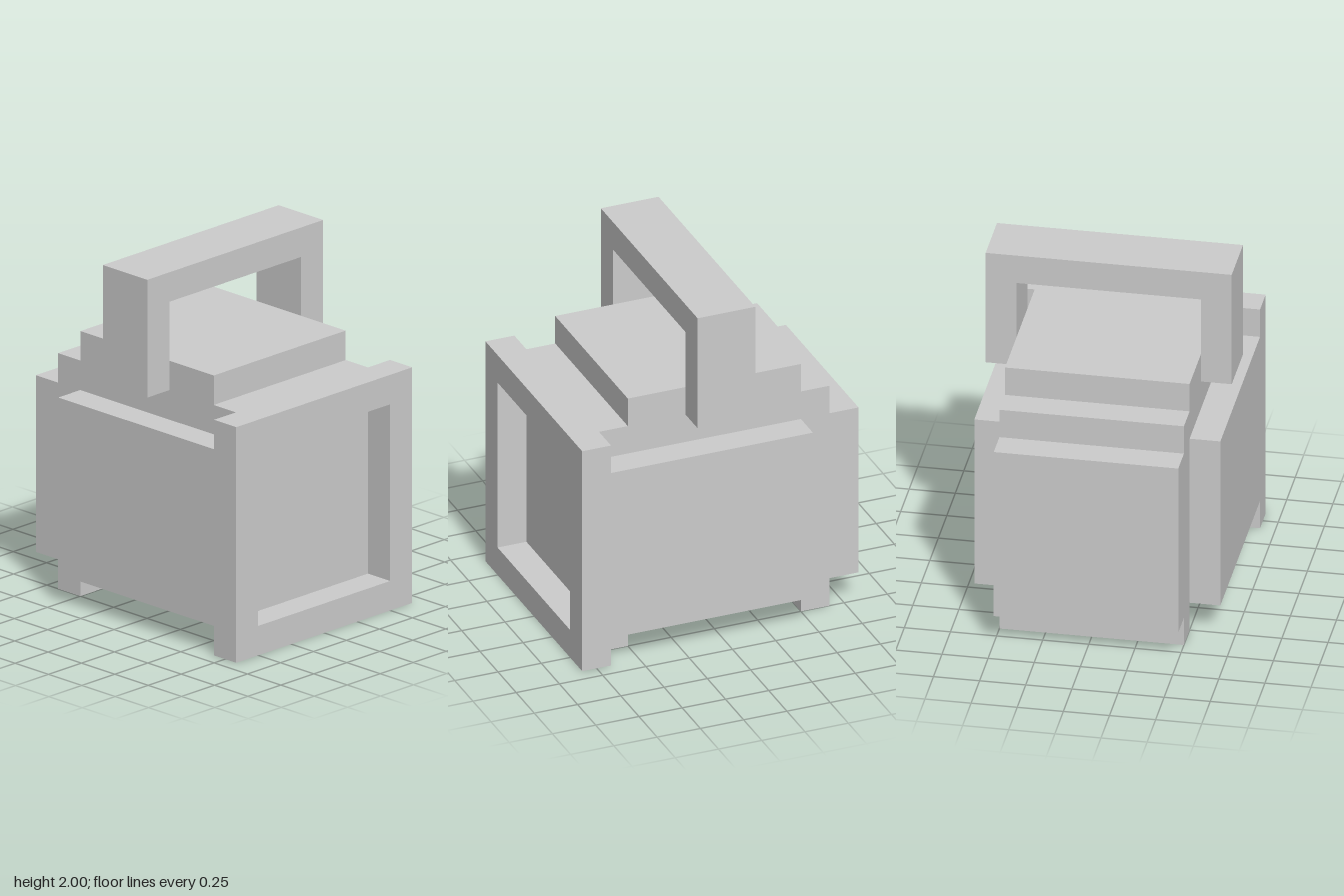
import * as THREE from 'three';

const U = 1 / 6; // grid unit: the model is 8 wide, 12 high and 10 deep
const material = new THREE.MeshStandardMaterial({ color: 0xcccccc, flatShading: true });

const scaled = (points) => points.map(([x, y]) => new THREE.Vector2(x * U, y * U));

const rect = (x0, y0, x1, y1) => [[x0, y0], [x1, y0], [x1, y1], [x0, y1]];

// Outline (with optional hole) extruded along z from z0 to z1
function slab(outline, z0, z1, hole) {
  const shape = new THREE.Shape(scaled(outline));
  if (hole) shape.holes.push(new THREE.Path(scaled(hole)));
  const geometry = new THREE.ExtrudeGeometry(shape, { depth: (z1 - z0) * U, bevelEnabled: false });
  return geometry.translate(0, 0, z0 * U);
}

export function createModel() {
  const group = new THREE.Group();
  const add = (name, geometry) => {
    const mesh = new THREE.Mesh(geometry, material);
    mesh.name = name;
    group.add(mesh);
    return mesh;
  };

  // Central body: stepped side profile (front towards -x) swept across the width
  const profile = [
    [-4, 0], [-3, 0], [-3, 1], [3, 1], [3, 0], [4, 0], [4, 1], [5, 1],
    [5, 7], [4, 7], [4, 8], [3, 8], [3, 9], [-3, 9], [-3, 8], [-4, 8],
  ];
  add('body', slab(profile, -3, 3).rotateY(Math.PI / 2));

  // Raised frame around the recessed front window
  add('frontFrame', slab(rect(-4, 0, 4, 8), 4, 5, rect(-3, 1, 3, 7)));

  // Side panels
  for (const [side, name] of [[1, 'leftPanel'], [-1, 'rightPanel']]) {
    const panel = add(name, new THREE.BoxGeometry(U, 6 * U, 7 * U));
    panel.position.set(side * 3.5 * U, 4 * U, 0.5 * U);
  }

  // Carrying handle straddling the lid
  const arch = [[-4, 8], [-3, 8], [-3, 11], [3, 11], [3, 8], [4, 8], [4, 12], [-4, 12]];
  add('handle', slab(arch, -1, 1));

  return group;
}
